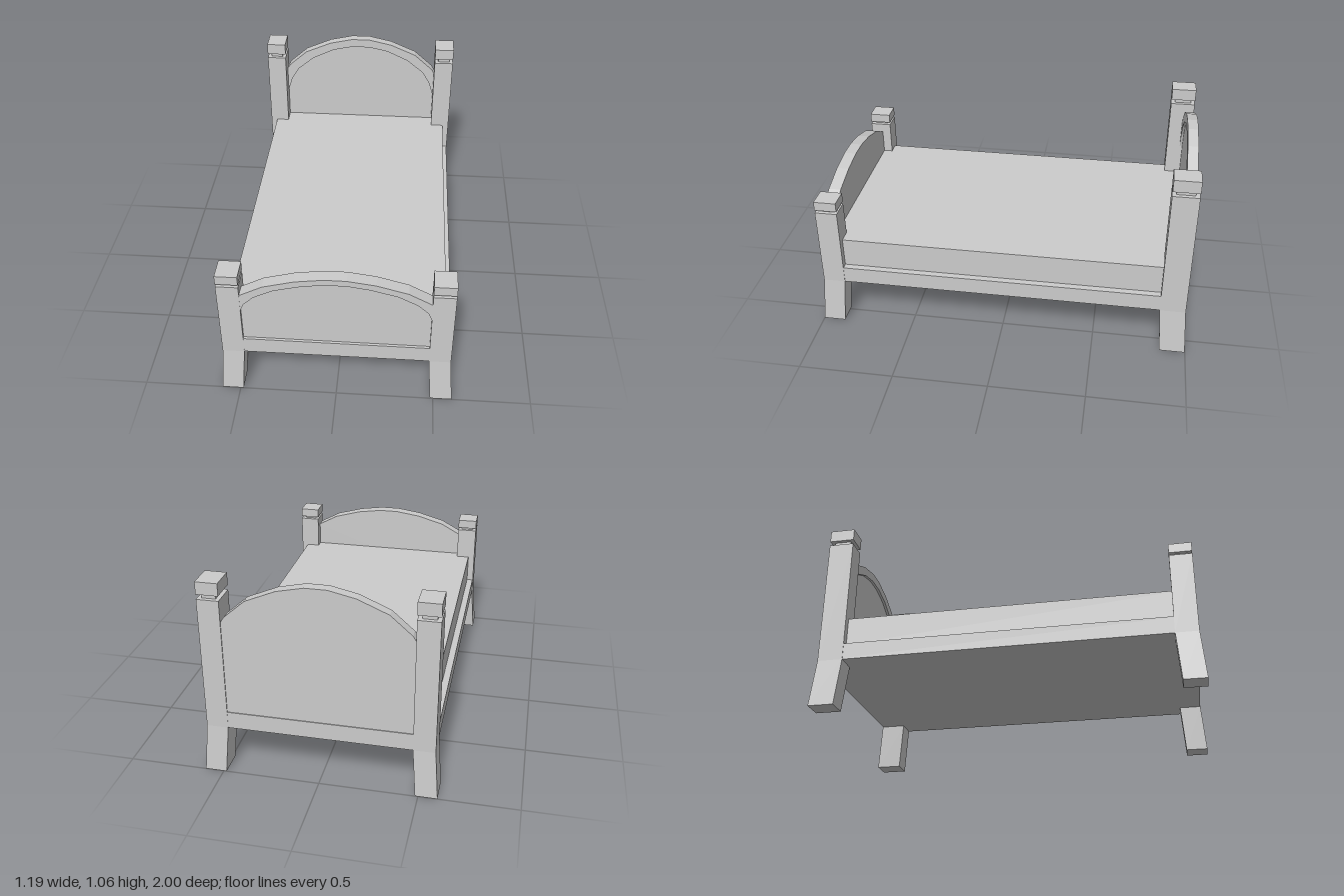
import * as THREE from 'three';

const material = new THREE.MeshStandardMaterial({ color: 0xcccccc, flatShading: true });

// Box given by its min and max corners
function box(name, [x0, y0, z0], [x1, y1, z1]) {
  const geo = new THREE.BoxGeometry(x1 - x0, y1 - y0, z1 - z0);
  geo.translate((x0 + x1) / 2, (y0 + y1) / 2, (z0 + z1) / 2);
  const mesh = new THREE.Mesh(geo, material);
  mesh.name = name;
  return mesh;
}

// Closed outline extruded from z0 to z1
function slab(name, points, z0, z1) {
  const shape = new THREE.Shape(points.map(([x, y]) => new THREE.Vector2(x, y)));
  const geo = new THREE.ExtrudeGeometry(shape, { depth: z1 - z0, bevelEnabled: false });
  geo.translate(0, 0, z0);
  const mesh = new THREE.Mesh(geo, material);
  mesh.name = name;
  return mesh;
}

// Full arch, right to left, from its right half
const arch = (half) => [...half, ...half.map(([x, y]) => [-x, y]).reverse()];

// Post with splayed foot, neck and square cap; side and end are the signs of x and z
function bedPost(name, side, end, zIn, heights) {
  const [shaftTop, neckTop, capTop] = heights;
  const xIn = 0.466, xOut = 0.577, zOut = 0.98, footTop = 0.255;
  const block = (part, y0, y1, inset) => {
    const xs = [side * (xIn + inset), side * (xOut - inset)].sort((a, b) => a - b);
    const zs = [end * (zIn + inset), end * (zOut - inset)].sort((a, b) => a - b);
    return box(part, [xs[0], y0, zs[0]], [xs[1], y1, zs[1]]);
  };
  const foot = block('foot', 0, footTop, 0);
  const pos = foot.geometry.attributes.position;
  for (let i = 0; i < pos.count; i++) {
    const splay = 0.019 * (1 - pos.getY(i) / footTop);
    pos.setX(i, pos.getX(i) + side * splay);
    pos.setZ(i, pos.getZ(i) + end * splay);
  }
  foot.geometry.computeVertexNormals();

  const post = new THREE.Group();
  post.name = name;
  post.add(
    foot,
    block('shaft', footTop, shaftTop, 0),
    block('neck', shaftTop, neckTop, 0.021),
    block('cap', neckTop, capTop, 0),
  );
  return post;
}

// Arched panel with a raised arch-shaped rim on its +z face
function archedBoard(name, outer, inner, zBack, zPanel, zFront) {
  const bottom = 0.3;
  const top = arch(outer);
  const xEnd = outer[0][0];
  const board = new THREE.Group();
  board.name = name;
  board.add(
    slab('panel', [[-xEnd, bottom], [xEnd, bottom], ...top], zBack, zPanel),
    slab('rim', [...top, ...arch(inner).reverse()], zPanel, zFront),
  );
  return board;
}

export function createModel() {
  const bed = new THREE.Group();
  bed.name = 'bed';

  // Frame and mattress
  bed.add(box('bedFrame', [-0.575, 0.255, -0.979], [0.575, 0.345, 0.979]));
  bed.add(box('mattress', [-0.54, 0.345, -0.94], [0.54, 0.505, 0.94]));

  // Four posts, the head pair taller
  for (const side of [1, -1]) {
    const label = side > 0 ? 'left' : 'right';
    bed.add(bedPost(label + 'HeadPost', side, -1, 0.845, [0.955, 0.98, 1.045]));
    bed.add(bedPost(label + 'FootPost', side, 1, 0.862, [0.69, 0.705, 0.755]));
  }

  // Headboard
  bed.add(archedBoard('headboard',
    [[0.47, 0.838], [0.45, 0.87], [0.342, 0.965], [0.19, 1.03], [0.055, 1.06]],
    [[0.47, 0.67], [0.44, 0.77], [0.395, 0.845], [0.297, 0.925], [0.17, 0.985], [0.055, 1.01]],
    -0.975, -0.935, -0.92));

  // Footboard
  bed.add(archedBoard('footboard',
    [[0.47, 0.637], [0.35, 0.702], [0.195, 0.745], [0.055, 0.765]],
    [[0.47, 0.53], [0.447, 0.583], [0.397, 0.63], [0.3, 0.68], [0.167, 0.715], [0.055, 0.732]],
    0.912, 0.965, 0.979));

  return bed;
}
